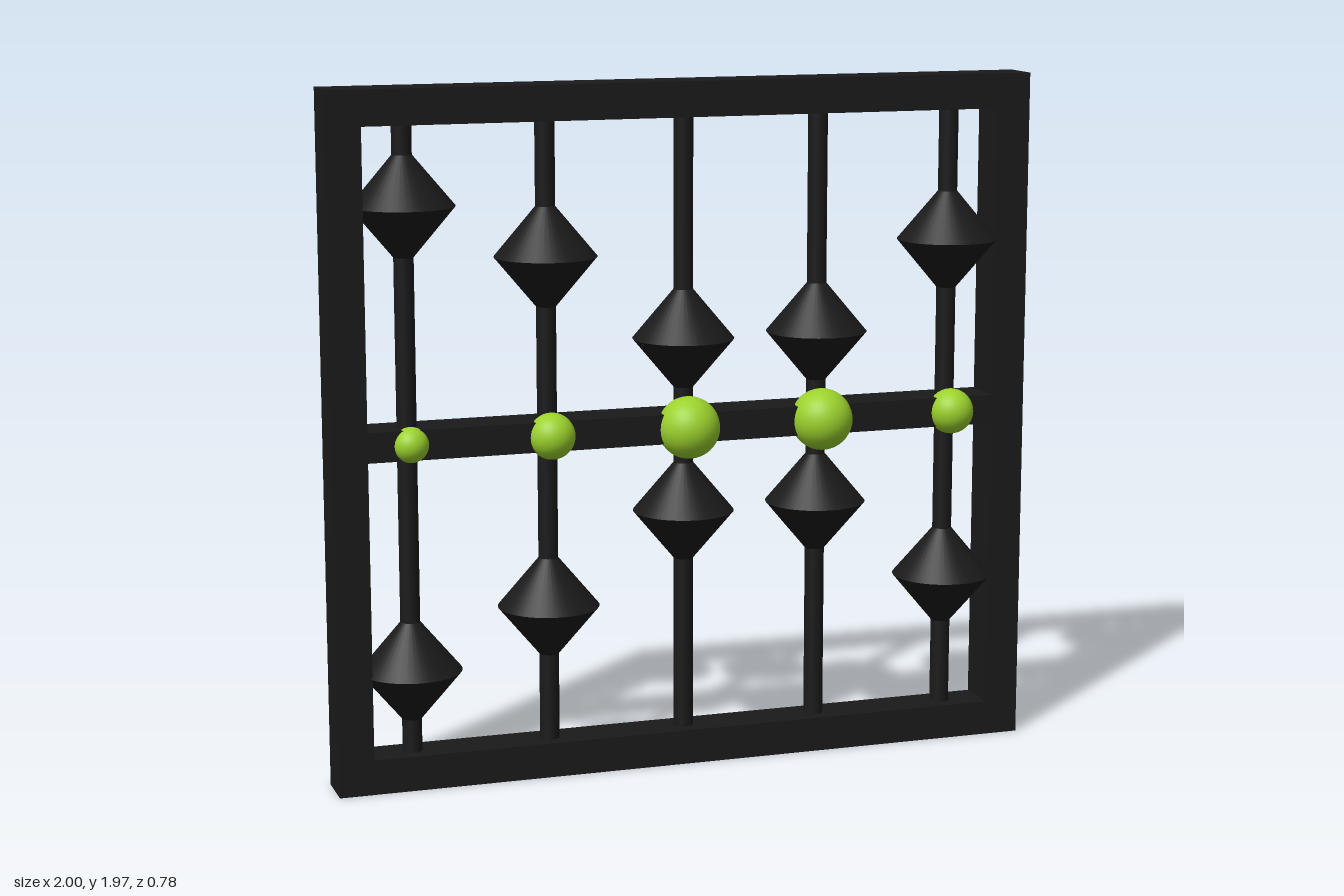
import * as THREE from 'three';

export function createModel() {
  const model = new THREE.Group();
  model.name = 'abacus';
  const black = new THREE.MeshStandardMaterial({ color: 0x1a1a1a });
  const green = new THREE.MeshStandardMaterial({ color: 0x9bd22d });

  const add = (name, geometry, material, x, y, z) => {
    const mesh = new THREE.Mesh(geometry, material);
    mesh.name = name;
    mesh.position.set(x, y, z);
    model.add(mesh);
  };

  const length = 2.06, height = 1.97, depth = 0.13, thick = 0.1, middleY = 0.99;

  // Outer frame: two posts with the rails between them
  for (const side of [-1, 1]) {
    add(side > 0 ? 'leftPost' : 'rightPost', new THREE.BoxGeometry(thick, height, depth), black,
      side * (length - thick) / 2, height / 2, 0);
  }
  const rail = new THREE.BoxGeometry(length - 2 * thick, thick, depth);
  add('bottomRail', rail, black, 0, thick / 2, 0);
  add('topRail', rail, black, 0, height - thick / 2, 0);

  // Dividing bar, standing slightly proud of the posts at the back
  add('middleBar', new THREE.BoxGeometry(2.0, 0.085, depth + 0.003), black, 0, middleY, -0.004);

  // Double-cone bead profile, with a sharp rim
  const beadHalves = [
    new THREE.CylinderGeometry(0.02, 0.145, 0.15, 40),
    new THREE.CylinderGeometry(0.145, 0.02, 0.15, 40),
  ];
  beadHalves[0].translate(0, 0.075, 0);
  beadHalves[1].translate(0, -0.075, 0);
  const rod = new THREE.CylinderGeometry(0.028, 0.028, height - 2 * thick + 0.02, 20);

  // Columns: upper bead height, lower bead height, marker radius
  const columns = [
    [1.645, 0.335, 0.05],
    [1.49, 0.49, 0.066],
    [1.24, 0.74, 0.089],
    [1.24, 0.74, 0.089],
    [1.49, 0.49, 0.066],
  ];
  columns.forEach(([upper, lower, radius], i) => {
    const x = (i - 2) * 0.403;
    add('rod', rod, black, x, height / 2, 0);
    for (const half of beadHalves) {
      add('upperBead', half, black, x, upper, 0);
      add('lowerBead', half, black, x, lower, 0);
    }
    add('marker', new THREE.SphereGeometry(radius, 32, 20), green, x, middleY, 0.051);
  });

  // The whole frame is turned a little about the vertical
  model.rotation.y = -0.311;
  const root = new THREE.Group();
  root.name = 'turnedAbacus';
  root.add(model);
  return root;
}
